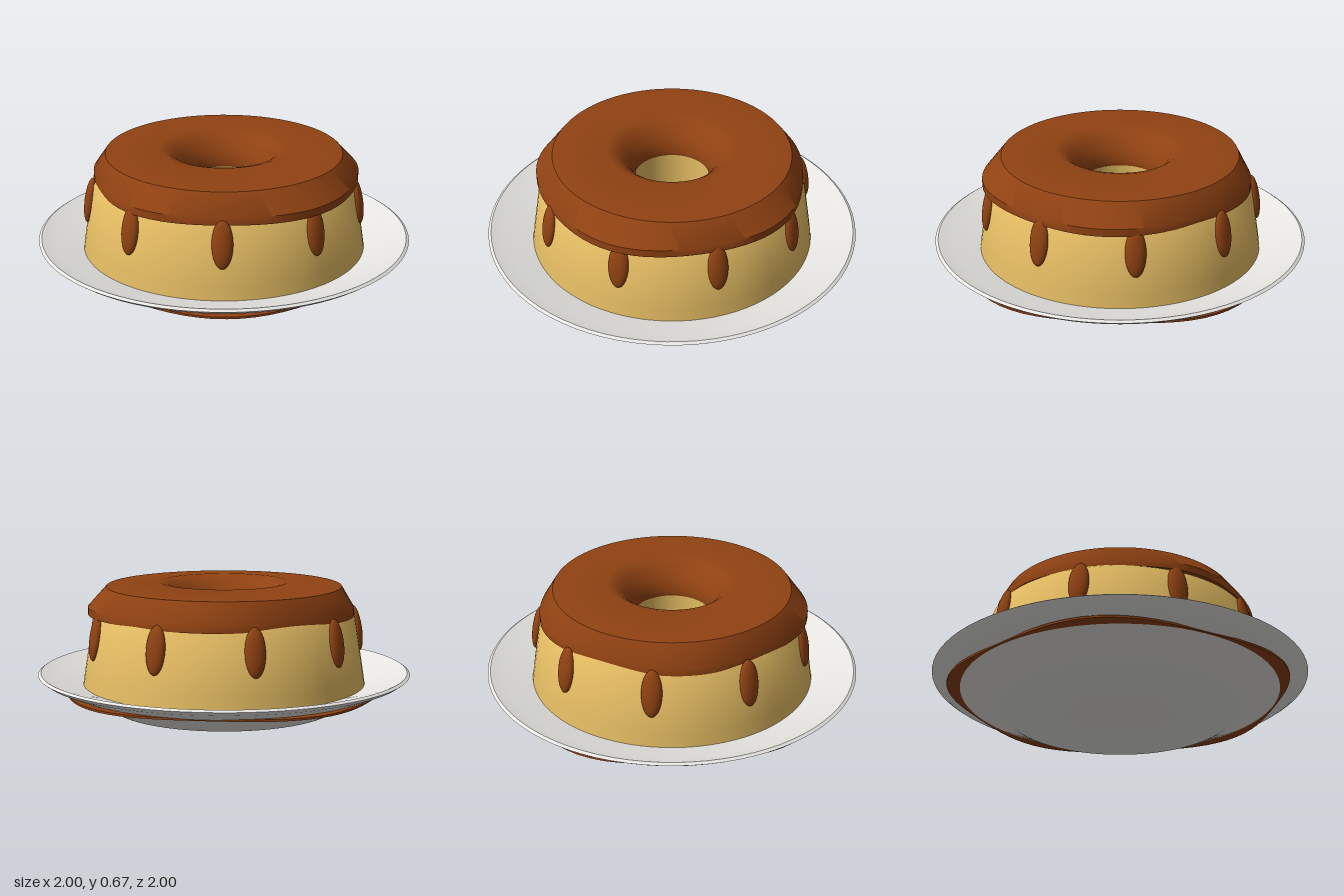
import * as THREE from 'three';
import { toCreasedNormals } from 'three/addons/utils/BufferGeometryUtils.js';

const material = (name, color) => {
  const m = new THREE.MeshStandardMaterial({ color });
  m.name = name;
  return m;
};

// Revolve a [radius, height] profile; reshape(angle, r, y) returns a new radius
function turned(name, profile, mat, reshape) {
  const geo = new THREE.LatheGeometry(profile.map(([r, y]) => new THREE.Vector2(r, y)), 80);
  if (reshape) {
    const p = geo.attributes.position;
    for (let i = 0; i < p.count; i++) {
      const r = Math.hypot(p.getX(i), p.getZ(i));
      const a = Math.atan2(p.getX(i), p.getZ(i));
      const k = reshape(a, r, p.getY(i));
      p.setX(i, k * Math.sin(a));
      p.setZ(i, k * Math.cos(a));
    }
  }
  const mesh = new THREE.Mesh(toCreasedNormals(geo, 0.7), mat);
  mesh.name = name;
  return mesh;
}

export function createModel() {
  const model = new THREE.Group();
  model.name = 'caramelPudding';
  const china = material('china', 0xebeae6);
  const custard = material('custard', 0xe3bb62);
  const caramel = material('caramel', 0x904212);

  // Shallow plate with a flared rim
  model.add(turned('plate', [
    [0, 0], [0.61, 0], [0.67, 0.032], [0.86, 0.119], [0.97, 0.168], [1, 0.19],
    [0.985, 0.2], [0.9, 0.168], [0.74, 0.128], [0.55, 0.06], [0, 0.05],
  ], china));

  // Thin sauce pool with five lobes
  model.add(turned('saucePool', [
    [0, 0.114], [0.89, 0.114], [0.89, 0.125], [0, 0.125],
  ], caramel, (a, r) => (r > 0.5 ? 0.89 + 0.03 * Math.cos(5 * a) : r)));

  // Ring-shaped pudding with a hole through the middle
  model.add(turned('pudding', [
    [0.2, 0.12], [0.762, 0.12], [0.75, 0.2], [0.7, 0.51], [0.6, 0.6],
    [0.36, 0.62], [0.2, 0.5], [0.2, 0.12],
  ], custard));

  // Caramel topping: uneven lower edge, dimple running into the hole
  model.add(turned('caramelTopping', [
    [0.6, 0.51], [0.705, 0.51], [0.705, 0.55], [0.63, 0.655], [0.34, 0.674],
    [0.3, 0.662], [0.26, 0.63], [0.222, 0.58], [0.195, 0.52], [0.2, 0.49],
  ], caramel, (a, r) => (r > 0.65
    ? 0.708 + 0.016 * Math.cos(a - 0.87) - 0.012 * Math.cos(5 * a) : r)));

  // Nine drips lying against the sloping side
  const dripGeo = new THREE.SphereGeometry(1, 24, 16).scale(0.053, 0.125, 0.03);
  for (let i = 0; i < 9; i++) {
    const a = THREE.MathUtils.degToRad(-1.5 + 40 * i);
    const drip = new THREE.Mesh(dripGeo, caramel);
    drip.name = 'drip' + (i + 1);
    drip.position.set(0.718 * Math.sin(a), 0.415, 0.718 * Math.cos(a));
    drip.rotation.set(-0.16, a, 0, 'YXZ');
    model.add(drip);
  }
  return model;
}
